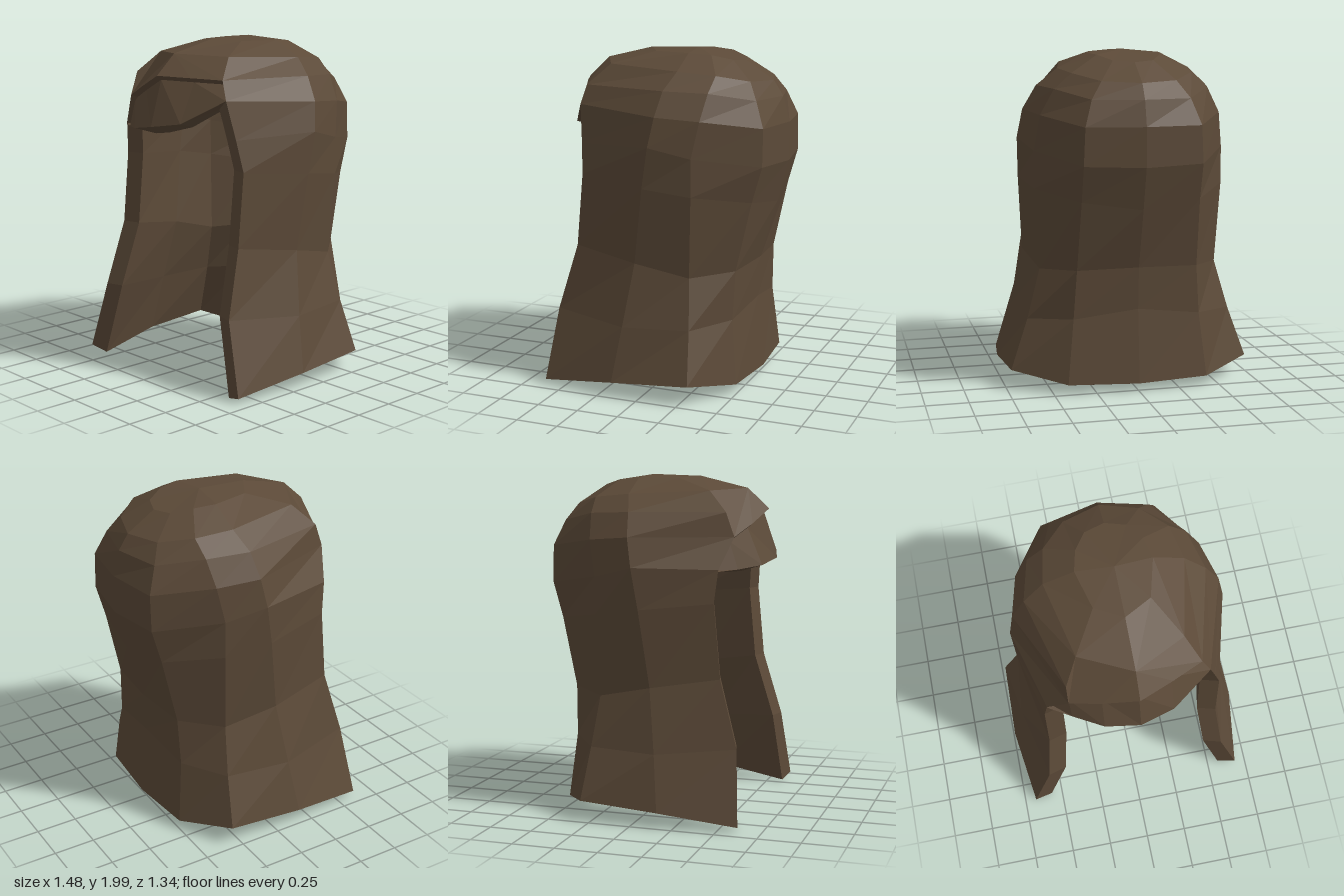
import * as THREE from 'three';

const hair = new THREE.MeshStandardMaterial({
  color: 0x5c4a38, roughness: 0.9, flatShading: true, side: THREE.DoubleSide,
});

// Turns a list of quads (four corners each) into a flat-shaded mesh
function quadMesh(name, quads) {
  const pos = [];
  for (const [a, b, c, d] of quads) pos.push(...a, ...b, ...c, ...a, ...c, ...d);
  const g = new THREE.BufferGeometry();
  g.setAttribute('position', new THREE.Float32BufferAttribute(pos, 3));
  g.computeVertexNormals();
  const m = new THREE.Mesh(g, hair);
  m.name = name;
  return m;
}

// Skins consecutive rows of points
function skin(rows, flip = false, closed = false) {
  const quads = [];
  for (let j = 0; j + 1 < rows.length; j++) {
    const n = rows[j].length;
    for (let i = 0; i < (closed ? n : n - 1); i++) {
      const k = (i + 1) % n;
      const q = [rows[j][i], rows[j][k], rows[j + 1][k], rows[j + 1][i]];
      quads.push(flip ? q.reverse() : q);
    }
  }
  return quads;
}

// Half row (left front edge to centre back) mirrored into a full row
const mirror = (half) => [
  ...half,
  ...half.slice(0, 4).reverse().map(([x, y, z]) => [-x, y, z]),
];

export function createModel() {
  const model = new THREE.Group();
  model.name = 'hair';

  // Curtain rows, bottom to temple: front edge, side, rear side, back corner, back middle
  const curtain = [
    [[0.68, 0.04, 0.62], [0.74, 0.10, 0.16], [0.725, 0.13, -0.31], [0.42, 0.07, -0.50], [0, 0.06, -0.53]],
    [[0.56, 0.46, 0.58], [0.665, 0.42, 0.12], [0.62, 0.43, -0.28], [0.38, 0.45, -0.46], [0, 0.50, -0.49]],
    [[0.52, 0.85, 0.47], [0.59, 0.79, 0.07], [0.54, 0.72, -0.25], [0.36, 0.74, -0.47], [0, 0.75, -0.505]],
    [[0.52, 1.28, 0.43], [0.62, 1.24, 0.01], [0.57, 1.20, -0.27], [0.35, 1.15, -0.56], [0, 1.10, -0.605]],
    [[0.48, 1.46, 0.45], [0.63, 1.48, -0.03], [0.57, 1.42, -0.27], [0.35, 1.36, -0.62], [0, 1.35, -0.67]],
    [[0.43, 1.68, 0.48], [0.60, 1.65, -0.06], [0.54, 1.63, -0.31], [0.34, 1.58, -0.62], [0, 1.58, -0.67]],
  ].map(mirror);

  // Crown rows above the temple
  const crown = [
    [[0.38, 1.79, 0.46], [0.52, 1.79, -0.08], [0.46, 1.78, -0.33], [0.29, 1.73, -0.56], [0, 1.73, -0.63]],
    [[0.30, 1.91, 0.34], [0.40, 1.89, -0.12], [0.36, 1.87, -0.34], [0.22, 1.83, -0.50], [0, 1.82, -0.57]],
    [[0.16, 1.98, 0.11], [0.22, 1.98, -0.12], [0.19, 1.97, -0.25], [0.12, 1.94, -0.36], [0, 1.93, -0.40]],
  ].map(mirror);
  const frontMid = [[0, 1.80, 0.62], [0, 1.92, 0.49], [0, 1.99, 0.20]];
  const apex = [0, 2, -0.1];

  // Lip of the swept parting, from the left temple down to the right one
  const lip = [
    crown[0][0], [0.20, 1.795, 0.54], frontMid[0],
    [-0.20, 1.72, 0.57], [-0.38, 1.65, 0.51], [-0.50, 1.47, 0.45],
  ];
  curtain[5][8] = lip[4];
  curtain[4][8] = lip[5];

  // Inner wall: each column pushed in along its own direction
  const inward = [[0.11, 0.03], [0.1, 0], [0.09, -0.05], [0.06, -0.09], [0, -0.1]];
  const inner = curtain.map((row, j) => row.map(([x, y, z], i) => {
    const [dx, dz] = inward[i < 5 ? i : 8 - i];
    return [x - dx * Math.sign(x), j ? y : y - 0.03, z - dz];
  }));
  const shrink = ([x, y, z]) => [x * 0.84, 1.2 + (y - 1.2) * 0.88, z * 0.84];

  // Curtain: outer wall, inner wall, front edges and hem
  model.add(quadMesh('curtain', skin(curtain)));
  model.add(quadMesh('curtainLining', skin(inner, true)));
  model.add(quadMesh('hem', skin([inner[0], curtain[0]])));
  for (const [name, i] of [['leftFrontEdge', 0], ['rightFrontEdge', 8]]) {
    const rows = curtain.map((row, j) => [inner[j][i], row[i]]);
    model.add(quadMesh(name, skin(rows, i === 8)));
  }

  // Crown: sides and back, then the top ring and the brow above the parting
  const upper = [crown[1], crown[2]].map((row, j) => [...row, frontMid[j + 1]]);
  const top = upper[1].map(() => apex);
  model.add(quadMesh('crown', [
    ...skin([curtain[5], crown[0], crown[1]]),
    ...skin([...upper, top], false, true),
  ]));
  const [left, right] = [crown[1][0], crown[1][8]];
  model.add(quadMesh('brow', [
    [frontMid[1], lip[2], lip[1], lip[0]],
    [frontMid[1], lip[0], left, left],
    [frontMid[1], right, lip[4], lip[3]],
    [frontMid[1], lip[3], lip[2], lip[2]],
    [right, crown[0][8], lip[4], lip[4]],
  ]));

  // Crown lining
  const liningRows = crown.map((row, j) => [...row, frontMid[j]].map(shrink));
  model.add(quadMesh('crownLining', [
    ...skin([inner[5], liningRows[0].slice(0, 9)], true),
    ...skin([...liningRows, top.map(shrink)], true, true),
  ]));

  // Fringe: lip, recessed top, front hem, back hem and hidden back for each section
  const frontHem = [[0.43, 1.68, 0.48], [0.20, 1.54, 0.62], [0, 1.51, 0.67],
    [-0.20, 1.48, 0.63], [-0.37, 1.465, 0.53], [-0.50, 1.46, 0.45]];
  const backHem = [[0.36, 1.64, 0.38], [0.17, 1.51, 0.50], [0, 1.465, 0.53],
    [-0.16, 1.44, 0.50], [-0.28, 1.44, 0.44], [-0.41, 1.46, 0.38]];
  const sections = lip.map((p, i) => [
    p,
    [p[0] * 0.99, p[1] - (i === 5 ? 0.005 : 0.025), p[2] - 0.03],
    frontHem[i],
    backHem[i],
    [p[0] * 0.88, p[1] - 0.01, p[2] - 0.12],
  ]);
  model.add(quadMesh('fringe', skin(sections, true, true)));

  return model;
}
